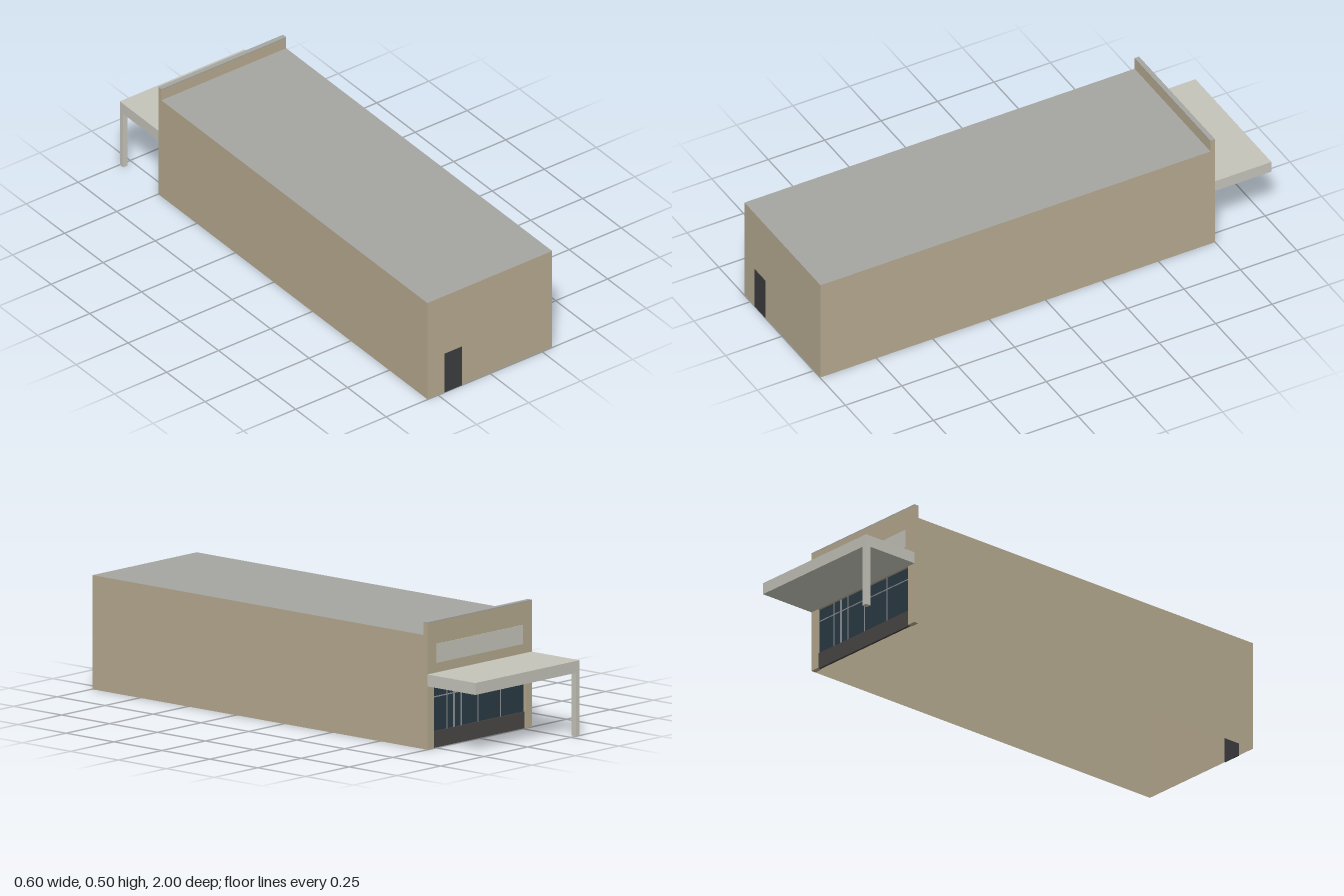
import * as THREE from 'three';

const mat = (color) => new THREE.MeshStandardMaterial({ color, side: THREE.DoubleSide });

export function createModel() {
  const group = new THREE.Group();
  const tan = mat(0xb5a98f), roofGrey = mat(0xa5a5a0), pale = mat(0xc4c4ba);
  const dark = mat(0x3b3c3e), base = mat(0x4a4745), glass = mat(0x2a3a44), frame = mat(0x8c9094);

  const add = (name, geometry, material, x, y, z) => {
    const mesh = new THREE.Mesh(geometry, material);
    mesh.name = name;
    mesh.position.set(x, y, z);
    group.add(mesh);
    return mesh;
  };
  // Box given by its lower and upper limits on each axis
  const box = (name, material, x0, x1, y0, y1, z0, z1) =>
    add(name, new THREE.BoxGeometry(x1 - x0, y1 - y0, z1 - z0), material,
      (x0 + x1) / 2, (y0 + y1) / 2, (z0 + z1) / 2);

  const W = 0.3, H = 0.45, BACK = -0.75, INNER = -0.73, FRONT = 0.998;

  // Shell: thin walls and roof, open underneath
  const length = FRONT - INNER, midZ = (FRONT + INNER) / 2;
  for (const s of [-1, 1]) {
    add(s > 0 ? 'leftWall' : 'rightWall', new THREE.PlaneGeometry(length, H), tan, s * W, H / 2, midZ)
      .rotation.y = s * Math.PI / 2;
  }
  add('frontWall', new THREE.PlaneGeometry(2 * W, H), tan, 0, H / 2, FRONT);
  add('roof', new THREE.PlaneGeometry(2 * W, length), roofGrey, 0, H, midZ).rotation.x = -Math.PI / 2;

  // Service door, showing on both faces of the front wall
  box('frontDoor', dark, -0.218, -0.136, 0, 0.18, 0.996, 1);

  // Back facade with parapet and storefront opening
  const OPEN = 0.263, TOP = 0.25;
  const facade = new THREE.Shape([
    [-W, 0], [-OPEN, 0], [-OPEN, TOP], [OPEN, TOP], [OPEN, 0], [W, 0], [W, 0.497], [-W, 0.497],
  ].map(([x, y]) => new THREE.Vector2(x, y)));
  add('backFacade', new THREE.ExtrudeGeometry(facade, { depth: INNER - BACK, bevelEnabled: false }),
    tan, 0, 0, BACK);
  box('parapetCap', roofGrey, -W, W, 0.497, 0.502, BACK, INNER);
  box('signPanel', pale, -0.247, 0.247, 0.335, 0.41, BACK - 0.002, BACK + 0.002);

  // Storefront: glazing, base panel and frame bars
  box('storefrontGlass', glass, -OPEN, OPEN, 0.065, TOP, -0.74, -0.735);
  box('storefrontBase', base, -OPEN, OPEN, 0, 0.065, -0.745, -0.735);
  const bar = 0.002;
  for (const x of [0.178, 0.137, 0.096, 0, -0.13]) {
    const w = x === 0.137 ? 2 * bar : bar;
    box('mullion', frame, x - w, x + w, 0.065, TOP, -0.743, -0.734);
  }
  box('transom', frame, -OPEN, OPEN, 0.2 - bar, 0.2 + bar, -0.743, -0.734);

  // Entrance canopy carried by one corner post
  box('canopy', pale, -W, W, 0.25, 0.297, -1, BACK);
  box('canopyPost', pale, -W, -W + 0.022, 0, 0.25, -1, -0.978);

  return group;
}
